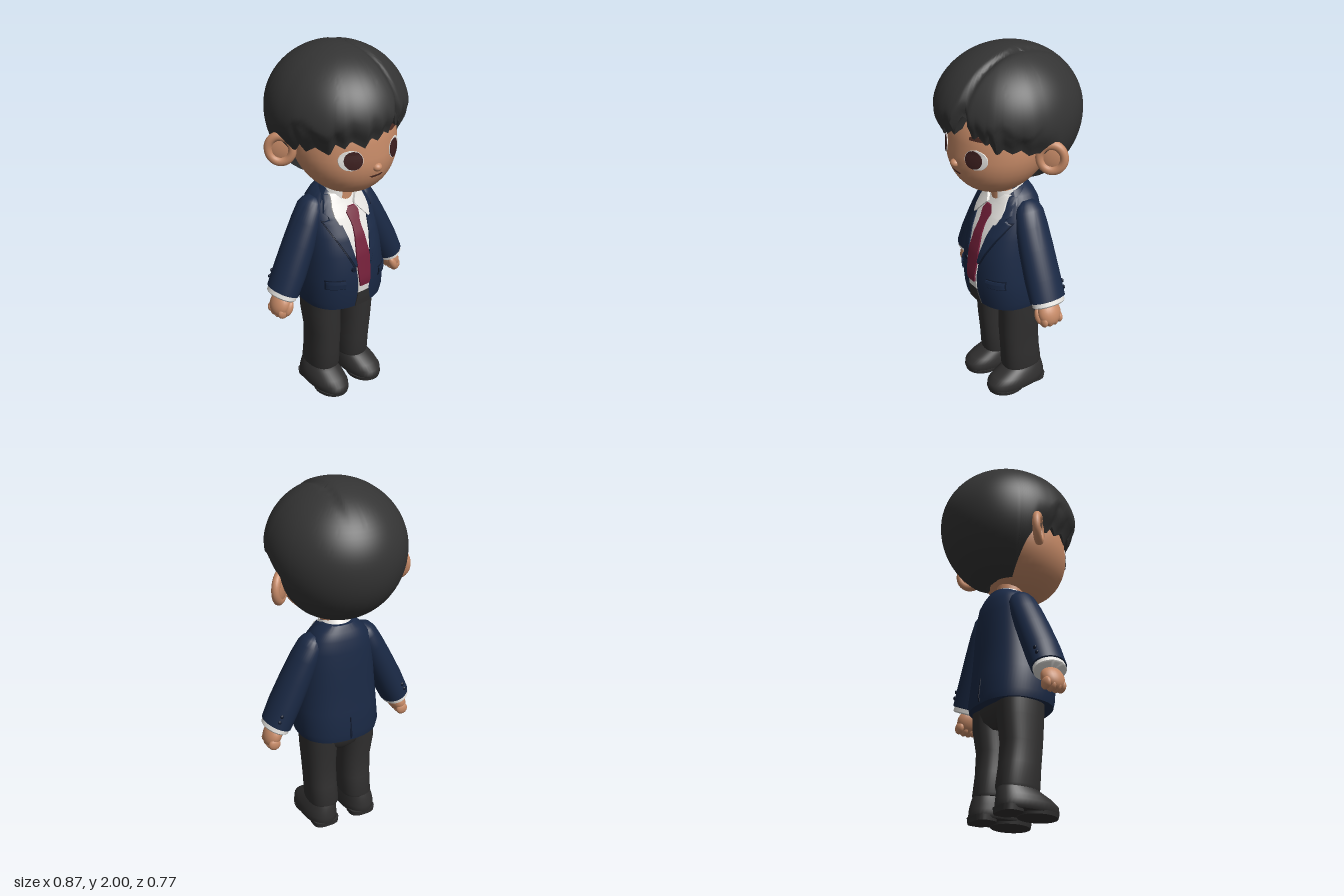
import * as THREE from 'three';
import { toCreasedNormals } from 'three/addons/utils/BufferGeometryUtils.js';

const material = (name, color) => {
  const m = new THREE.MeshStandardMaterial({ color, side: THREE.DoubleSide });
  m.name = name;
  return m;
};
const { clamp, smoothstep, degToRad } = THREE.MathUtils;

// Surface from a rule f(row, col); rows run bottom to top
function grid(rows, cols, f, wrap, crease = 0.8) {
  const pos = [], index = [], w = wrap ? cols : cols + 1;
  for (let i = 0; i <= rows; i++) for (let j = 0; j < w; j++) pos.push(...f(i, j));
  for (let i = 0; i < rows; i++) for (let j = 0; j < cols; j++) {
    const a = i * w + j, b = i * w + (j + 1) % w;
    index.push(a, b, b + w, a, b + w, a + w);
  }
  const g = new THREE.BufferGeometry();
  g.setAttribute('position', new THREE.Float32BufferAttribute(pos, 3));
  g.setIndex(index);
  return toCreasedNormals(g, crease);
}

// Closed body from rings [y, cx, cz, rx, rz]; n sets squareness
function loft(rings, n = 2, seg = 40) {
  const cap = (r) => [r[0], r[1], r[2], 0, 0];
  const all = [cap(rings[0]), ...rings, cap(rings[rings.length - 1])];
  const p = (v) => Math.sign(v) * Math.abs(v) ** (2 / n);
  return grid(all.length - 1, seg, (i, j) => {
    const [y, cx, cz, rx, rz] = all[i], a = (j / seg) * Math.PI * 2;
    return [cx + rx * p(Math.sin(a)), y, cz + rz * p(Math.cos(a))];
  }, true);
}

// Piecewise linear lookup in a table sorted by its first column
function lookup(table, t) {
  let k = 0;
  while (k < table.length - 2 && t > table[k + 1][0]) k++;
  const a = table[k], b = table[k + 1], u = clamp((t - a[0]) / (b[0] - a[0]), 0, 1);
  return a.map((v, i) => v + (b[i] - v) * u);
}

// Thin raised plate following a surface; rows are [y, xLeft, xRight]
function plate(rows, off, surface, back = 1, N = 20, M = 8) {
  const y0 = rows[0][0], y1 = rows[rows.length - 1][0];
  return grid(N, M, (i, j) => {
    const [y, l, r] = lookup(rows, y0 + (y1 - y0) * clamp((i - 1) / (N - 2), 0, 1));
    const x = (l + (r - l) * clamp((j - 1) / (M - 2), 0, 1)) * back;
    const edge = i === 0 || i === N || j === 0 || j === M;
    return [x, y, surface(x, y, back) + back * (edge ? -0.004 : off)];
  }, false);
}
const mirrorRows = (rows, s) => rows.map(([y, a, b]) => (s > 0 ? [y, a, b] : [y, -b, -a]));
const oval = (cx, cy, rx, ry) => Array.from({ length: 15 }, (_, k) => {
  const a = (k / 14) * Math.PI, w = rx * Math.sin(a);
  return [cy - ry * Math.cos(a), cx - w, cx + w];
});

// Head surface
const HEAD = { y: 1.53, rx: 0.28, ry: 0.285, rz: 0.27 };
const headCz = (y) => 0.05 + Math.max(0, HEAD.y - y) * 0.2;
const headZ = (x, y) => headCz(y) + HEAD.rz *
  Math.sqrt(Math.max(0, 1 - (x / HEAD.rx) ** 2 - ((y - HEAD.y) / HEAD.ry) ** 2));

// Jacket surface: [y, half width, front z, back z]
const TORSO = [[0.58, 0.225, 0.215, -0.18], [0.62, 0.235, 0.222, -0.185], [0.75, 0.23, 0.235, -0.17],
  [0.9, 0.215, 0.213, -0.16], [1.0, 0.205, 0.183, -0.155], [1.1, 0.19, 0.132, -0.145],
  [1.17, 0.165, 0.09, -0.135], [1.21, 0.13, 0.07, -0.12], [1.245, 0.085, 0.05, -0.1]];
const TORSO_N = 2.4;
function torsoZ(x, y, side = 1) {
  const [, w, f, b] = lookup(TORSO, y);
  const k = Math.max(0, 1 - Math.abs(x / w) ** TORSO_N) ** (1 / TORSO_N);
  return (f + b) / 2 + side * ((f - b) / 2) * k;
}

// Lower hair edge: [degrees from the front, y]
const HAIRLINE = [[-180, 1.29], [-114, 1.3], [-105, 1.44], [-97, 1.52], [-82, 1.52], [-76, 1.57], [-70, 1.53],
  [-60, 1.57], [-47, 1.53], [-42, 1.6], [-34, 1.575], [-29, 1.62], [-16, 1.57], [-11, 1.625], [-4, 1.6],
  [2, 1.64], [8, 1.62], [13, 1.7], [17, 1.74], [20, 1.68], [25, 1.61], [30, 1.64], [37, 1.59], [40, 1.61],
  [46, 1.53], [52, 1.58], [60, 1.55], [68, 1.57], [76, 1.53], [82, 1.54], [97, 1.52], [105, 1.44],
  [114, 1.3], [180, 1.29]];

function hairGeometry() {
  const rows = 34, cols = 180, cy = 1.66;
  return grid(rows, cols, (i, j) => {
    const deg = (j / cols) * 360 - 180, th = degToRad(deg);
    const yb = lookup(HAIRLINE, deg)[1];
    const ryEnd = yb > cy ? 0.34 : 0.385;
    const phiMax = Math.acos(clamp((yb - cy) / ryEnd, -1, 1));
    const t = i < 2 ? 1 : 1 - (i - 2) / (rows - 2);
    const phi = phiMax * t, c = Math.cos(phi);
    let y = cy + c * (c > 0 ? 0.34 : 0.385);
    const front = 1 - smoothstep(Math.abs(deg), 85, 105);
    // Fringe tucks in towards the face, side locks step outwards
    let k = Math.sin(phi) * (1 - 0.1 * front * smoothstep(t, 0.75, 1) ** 2);
    const locks = smoothstep(Math.abs(deg), 30, 45) * (1 - smoothstep(Math.abs(deg), 75, 88));
    const tip = 1.67 + 0.035 * Math.sin(th * 9);
    k *= 1 + locks * (0.03 * smoothstep(y, tip - 0.015, tip + 0.015) - 0.02);
    if (i < 2) { k *= i === 0 ? 0.76 : 0.92; y += 0.012 * (2 - i); }
    let x = 0.36 * k * Math.sin(th), z = 0.385 * k * Math.cos(th);
    // Parting: the right sweep lies over the left one
    const d = x - (0.075 + 0.12 * Math.max(0, z) ** 1.3);
    const over = 1 - smoothstep(d, -0.02, 0.02);
    if (z > 0) z *= 0.95 + 0.065 * over;
    const groove = Math.exp(-((d / 0.016) ** 2)) * smoothstep(z, -0.3, -0.1) * (y > 1.7 ? 1 : 0);
    y -= 0.014 * groove * Math.max(0, c);
    z -= 0.014 * groove * (z > 0 ? Math.sin(phi) : 0);
    return [x, y, z];
  }, true, 0.9);
}

export function createModel() {
  const model = new THREE.Group();
  model.name = 'suitedFigure';
  const skin = material('skin', 0xc68a67), hair = material('hair', 0x343434);
  const black = material('trouserBlack', 0x302f2f), navy = material('jacketNavy', 0x1a2945);
  const trim = material('jacketTrim', 0x101a2e), white = material('shirtWhite', 0xe4e2de);
  const red = material('tieRed', 0x74203a), eye = material('eyeBrown', 0x3d1f1f);
  const brow = material('browBrown', 0x4a2a22);
  const add = (name, geo, mat, parent = model) => {
    const m = new THREE.Mesh(geo, mat);
    m.name = name;
    parent.add(m);
    return m;
  };
  const ball = (name, mat, pos, r, parent = model) => {
    const m = add(name, new THREE.SphereGeometry(1, 24, 16), mat, parent);
    m.position.set(...pos);
    m.scale.set(...r);
    return m;
  };

  // Head
  add('head', loft(Array.from({ length: 25 }, (_, k) => {
    const a = (k / 24) * Math.PI, y = HEAD.y - HEAD.ry * Math.cos(a), s = Math.sin(a);
    return [y, 0, headCz(y), HEAD.rx * s, HEAD.rz * s];
  })), skin);
  add('hair', hairGeometry(), hair);
  ball('nose', skin, [0, 1.442, 0.32], [0.026, 0.022, 0.026]);
  add('mouth', plate([[1.389, -0.028, 0.028], [1.398, -0.042, 0.042]], 0.003, headZ), brow);
  add('neck', new THREE.CylinderGeometry(0.075, 0.08, 0.16, 32), skin).position.set(0, 1.22, 0.015);

  // Jacket, shirt front and tie
  add('jacketBody', loft(TORSO.map(([y, w, f, b]) => [y, 0, (f + b) / 2, w, (f - b) / 2]), TORSO_N, 64), navy);
  add('shirtFront', plate([[0.66, -0.035, 0.035], [0.85, -0.045, 0.045], [1.0, -0.075, 0.075],
    [1.15, -0.105, 0.105], [1.21, -0.09, 0.09]], 0.004, torsoZ), white);
  add('frontOpening', plate([[0.582, -0.045, 0.06], [0.67, -0.035, 0.035]], 0.005, torsoZ), black);
  add('tie', plate([[0.715, -0.03, 0.03], [0.75, -0.037, 0.037], [0.88, -0.044, 0.044],
    [1.06, -0.024, 0.024], [1.075, -0.03, 0.03], [1.125, -0.04, 0.04], [1.14, -0.025, 0.025]], 0.013, torsoZ), red);
  add('backVent', plate([[0.59, -0.005, 0.005], [0.72, -0.003, 0.003]], 0.003, torsoZ, -1), trim);
  const collar = add('shirtCollar', new THREE.CylinderGeometry(0.086, 0.115, 0.085, 40, 1, true, 0.4, Math.PI * 2 - 0.8), white);
  collar.position.set(0, 1.205, 0.005);
  collar.rotation.x = 0.25;
  const backCollar = add('jacketCollar', new THREE.CylinderGeometry(0.1, 0.15, 0.07, 40, 1, true, Math.PI / 2 - 0.3, Math.PI + 0.6), navy);
  backCollar.position.set(0, 1.205, 0.005);
  backCollar.scale.z = 0.93;
  const button = add('jacketButton', new THREE.CylinderGeometry(0.013, 0.013, 0.012, 16), trim);
  button.position.set(-0.063, 0.82, torsoZ(0.063, 0.82) + 0.004);
  button.rotation.x = Math.PI / 2;

  // Hips
  add('hips', loft([[0.47, 0, -0.005, 0.05, 0.08], [0.51, 0, -0.005, 0.15, 0.115], [0.56, 0, -0.005, 0.2, 0.127],
    [0.66, 0, 0, 0.205, 0.13]], 2.3), black);

  for (const s of [1, -1]) {
    const side = s > 0 ? 'left' : 'right';
    const face = (name, rows, off, mat) => add(side + name, plate(mirrorRows(rows, s), off, headZ), mat);
    const front = (name, rows, off, mat) => add(side + name, plate(mirrorRows(rows, s), off, torsoZ, 1, 28), mat);

    // Eyes, brows and ears
    face('EyeWhite', oval(0.138, 1.502, 0.055, 0.054), 0.003, white);
    face('Iris', oval(0.13, 1.502, 0.042, 0.049), 0.006, eye);
    face('Brow', [[1.6, 0.1, 0.185], [1.612, 0.095, 0.18], [1.622, 0.11, 0.15]], 0.004, brow);
    const ear = new THREE.Group();
    ear.name = side + 'Ear';
    ear.position.set(s * 0.33, 1.507, -0.035);
    ear.rotation.y = s * 0.8;
    ear.scale.y = 1.12;
    model.add(ear);
    add('earRim', new THREE.TorusGeometry(0.062, 0.022, 14, 32), skin, ear);
    ball('earBowl', skin, [0, 0, -0.008], [0.066, 0.066, 0.02], ear);

    // Lapels, collar points and pocket flaps
    front('Lapel', [[0.84, 0.04, 0.052], [1.02, 0.073, 0.14], [1.085, 0.088, 0.165], [1.1, 0.092, 0.125],
      [1.125, 0.097, 0.15], [1.21, 0.085, 0.12]], 0.011, navy);
    front('LapelEdge', [[0.83, 0.038, 0.058], [1.02, 0.08, 0.145], [1.09, 0.1, 0.17]], 0.004, trim);
    front('CollarPoint', [[1.07, 0.088, 0.1], [1.11, 0.055, 0.112], [1.15, 0.022, 0.11], [1.185, 0.045, 0.1],
      [1.215, 0.07, 0.095]], 0.02, white);
    front('PocketFlap', [[0.722, 0.115, 0.198], [0.765, 0.115, 0.198]], 0.009, navy);
    front('PocketSeam', [[0.716, 0.112, 0.201], [0.771, 0.112, 0.201]], 0.003, trim);

    // Arm hangs from the shoulder along its own axis
    const arm = new THREE.Group();
    arm.name = side + 'Arm';
    arm.position.set(s * 0.16, 1.13, -0.005);
    arm.rotation.z = s * 0.436;
    model.add(arm);
    add('sleeve', loft([[-0.478, 0, 0, 0.072, 0.092], [-0.475, 0, 0, 0.079, 0.1], [-0.36, 0, 0, 0.084, 0.1],
      [-0.2, 0, -0.005, 0.08, 0.096], [-0.08, 0, -0.01, 0.074, 0.09], [0, 0, -0.015, 0.066, 0.08],
      [0.035, 0, -0.015, 0.052, 0.064], [0.06, 0, -0.015, 0.026, 0.034]]), navy, arm);
    add('shirtCuff', loft([[-0.507, 0, 0, 0.066, 0.085], [-0.5, 0, 0, 0.073, 0.092], [-0.46, 0, 0, 0.072, 0.09]]), white, arm);
    for (const y of [-0.4, -0.435]) ball('sleeveButton', trim, [s * 0.04, y, -0.089], [0.011, 0.011, 0.007], arm);
    ball('palm', skin, [-s * 0.008, -0.548, 0.005], [0.047, 0.072, 0.066], arm);
    for (let k = 0; k < 4; k++) {
      ball('finger', skin, [-s * 0.014, -0.595 + 0.006 * Math.abs(k - 1.5), -0.045 + k * 0.031], [0.034, 0.034, 0.019], arm);
    }
    ball('thumb', skin, [-s * 0.03, -0.555, 0.058], [0.022, 0.045, 0.024], arm);

    // Leg and shoe
    add(side + 'Leg', loft([[0.125, s * 0.103, -0.015, 0.084, 0.112], [0.14, s * 0.103, -0.015, 0.087, 0.116],
      [0.25, s * 0.105, -0.004, 0.086, 0.111], [0.37, s * 0.108, 0.005, 0.088, 0.112],
      [0.5, s * 0.113, -0.003, 0.095, 0.124], [0.64, s * 0.11, 0, 0.098, 0.13]], 2.4), black);
    add(side + 'Shoe', loft([[0.014, s * 0.118, 0.032, 0.09, 0.172], [0.025, s * 0.118, 0.032, 0.097, 0.178],
      [0.058, s * 0.118, 0.03, 0.096, 0.175], [0.085, s * 0.116, 0.015, 0.09, 0.155],
      [0.115, s * 0.112, -0.012, 0.08, 0.122], [0.14, s * 0.108, -0.025, 0.07, 0.1]], 2.3), black);
    add(side + 'Sole', loft([[0, s * 0.118, 0.095, 0.09, 0.108], [0.02, s * 0.118, 0.095, 0.094, 0.113]]), black);
    add(side + 'Heel', loft([[0, s * 0.116, -0.08, 0.075, 0.06], [0.03, s * 0.116, -0.08, 0.078, 0.064]], 3), black);
  }
  return model;
}
